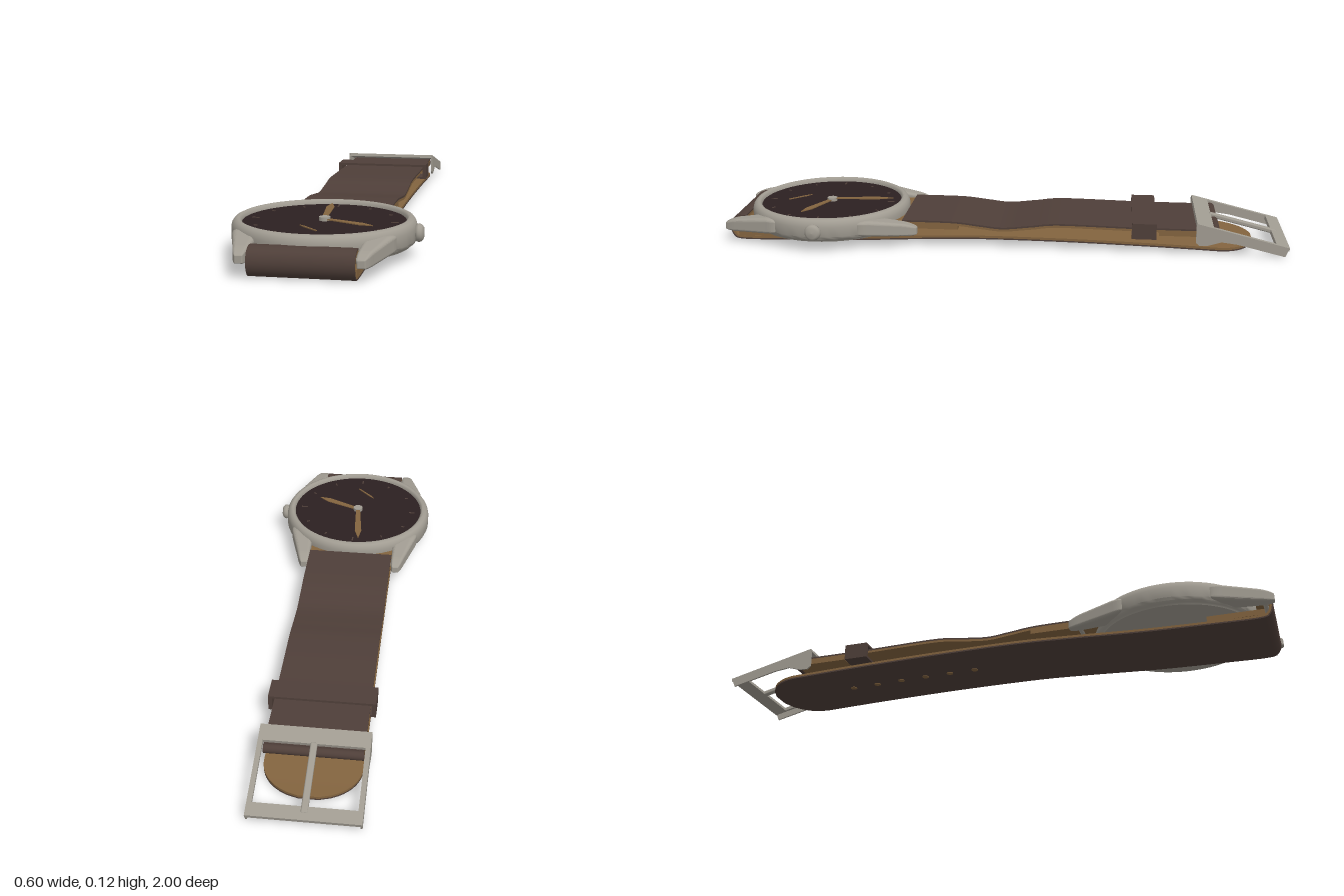
import * as THREE from 'three';
import { RoundedBoxGeometry } from 'three/addons/geometries/RoundedBoxGeometry.js';
import { toCreasedNormals } from 'three/addons/utils/BufferGeometryUtils.js';

const CX = -0.012, CZ = 0.65, HALF = 0.159;

function material(name, color) {
  const m = new THREE.MeshStandardMaterial({ color });
  m.name = name;
  return m;
}

export function createModel() {
  const steel = material('steel', 0xa19c92);
  const leather = material('brown leather', 0x4f3f39);
  const tan = material('tan lining', 0x83643f);
  const dark = material('dark dial', 0x2c2021);

  const model = new THREE.Group();
  model.name = 'wristwatch';

  function add(name, geo, mat, x = 0, y = 0, z = 0, parent = model) {
    const mesh = new THREE.Mesh(geo, mat);
    mesh.name = name;
    mesh.position.set(x, y, z);
    parent.add(mesh);
    return mesh;
  }

  // Strap layer: a box bent along a (z, y) path, between two offsets from it
  function ribbon(curve, low, high, halfWidth, steps = 90) {
    const geo = new THREE.BoxGeometry(2, 1, 1, 1, 1, steps);
    const p = geo.attributes.position;
    for (let i = 0; i < p.count; i++) {
      const t = THREE.MathUtils.clamp(p.getZ(i) + 0.5, 0, 1);
      const c = curve.getPointAt(t), d = curve.getTangentAt(t);
      const o = p.getY(i) > 0 ? high : low;
      p.setXYZ(i, p.getX(i) * halfWidth(c.x), c.y + d.x * o, c.x - d.y * o);
    }
    geo.computeVertexNormals();
    return geo;
  }
  const path = (pts) => new THREE.SplineCurve(pts.map(([z, y]) => new THREE.Vector2(z, y)));
  const full = () => HALF;

  // Upper strap with its folded ends
  const upper = path([[-0.745, 0.088], [-0.6, 0.088], [-0.45, 0.089], [-0.2, 0.093],
    [-0.1, 0.083], [0, 0.073], [0.08, 0.08], [0.18, 0.09], [0.36, 0.091]]);
  add('upperStrap', ribbon(upper, -0.006, 0, full), leather, CX);
  add('upperStrapLining', ribbon(upper, -0.014, -0.006, full), tan, CX);
  add('upperStrapFoldNearCase', new THREE.BoxGeometry(2 * HALF, 0.018, 0.25), tan, CX, 0.07, 0.285);
  add('upperStrapFoldNearBuckle', new THREE.BoxGeometry(2 * HALF, 0.018, 0.19), tan, CX, 0.07, -0.645);
  add('buckleFold', new THREE.CylinderGeometry(0.016, 0.016, 2 * HALF, 20).rotateZ(Math.PI / 2),
    leather, CX, 0.075, -0.747);

  // Lower strap: rounded tip, long underside, loop around the front bar
  const lower = path([[-0.885, 0.006], [-0.82, 0.007], [-0.74, 0.011], [-0.5, 0.02], [-0.2, 0.027],
    [0.1, 0.028], [0.3, 0.021], [0.55, 0.009], [0.8, 0.003], [0.945, 0.002], [0.978, 0.014],
    [0.99, 0.046], [0.98, 0.078], [0.955, 0.092], [0.93, 0.092]]);
  const tip = (z) => {
    const u = THREE.MathUtils.clamp((-0.745 - z) / 0.143, 0, 1);
    return HALF * Math.sqrt(Math.max(0.01, 1 - u * u));
  };
  add('lowerStrap', ribbon(lower, 0, 0.005, tip, 180), leather, CX);
  add('lowerStrapLining', ribbon(lower, 0.005, 0.013, tip, 180), tan, CX);
  add('lowerStrapFold', new THREE.BoxGeometry(2 * HALF, 0.02, 0.19), tan, CX, 0.025, 0.865);

  // Adjustment holes
  const samples = lower.getPoints(400);
  for (let i = 0; i < 6; i++) {
    const z = -0.1 - i * 0.096;
    const y = samples.find((s) => s.x >= z).y;
    add('strapHole', new THREE.CylinderGeometry(0.012, 0.012, 0.016, 16), tan, CX, y + 0.006, z);
  }

  // Keeper band around the upper strap
  const rect = (P, x0, y0, x1, y1) => {
    const s = new P();
    s.moveTo(x0, y0); s.lineTo(x1, y0); s.lineTo(x1, y1); s.lineTo(x0, y1); s.closePath();
    return s;
  };
  const band = rect(THREE.Shape, -0.178, 0.052, 0.178, 0.108);
  band.holes.push(rect(THREE.Path, -0.165, 0.06, 0.165, 0.1));
  add('keeper', new THREE.ExtrudeGeometry(band, { depth: 0.085, bevelEnabled: false }), leather, CX, 0, -0.54);

  // Case: turned body with raised bezel
  const profile = [[0, 0.034], [0.25, 0.036], [0.27, 0.038], [0.274, 0.045], [0.284, 0.05], [0.288, 0.06],
    [0.288, 0.095], [0.285, 0.108], [0.278, 0.118], [0.268, 0.123], [0.262, 0.122], [0.256, 0.116],
    [0.255, 0.104]].map(([r, y]) => new THREE.Vector2(r, y));
  add('case', toCreasedNormals(new THREE.LatheGeometry(profile, 72), 0.8), steel, CX, 0, CZ);
  add('dial', new THREE.CylinderGeometry(0.257, 0.257, 0.008, 72), dark, CX, 0.104, CZ);

  // Hour marks and small seconds ring
  for (let i = 0; i < 12; i++) {
    const a = (i * Math.PI) / 6;
    const mark = add('hourMark', new THREE.BoxGeometry(0.005, 0.002, i % 3 ? 0.012 : 0.024), leather,
      CX + Math.sin(a) * 0.22, 0.109, CZ + Math.cos(a) * 0.22);
    mark.rotation.y = a;
  }

  // Hands
  function hand(name, x, z, dx, dz, width, y) {
    const len = Math.hypot(dx, dz), s = new THREE.Shape();
    s.moveTo(-width * 0.3, 0); s.lineTo(width * 0.3, 0); s.lineTo(width / 2, len * 0.75);
    s.lineTo(0, len); s.lineTo(-width / 2, len * 0.75); s.closePath();
    const geo = new THREE.ExtrudeGeometry(s, { depth: 0.003, bevelEnabled: false }).rotateX(-Math.PI / 2);
    add(name, geo, tan, x, y, z).rotation.y = Math.atan2(-dx, -dz);
  }
  hand('minuteHand', CX, CZ, -0.022, -0.225, 0.026, 0.115);
  hand('hourHand', CX, CZ, 0.165, 0.075, 0.026, 0.111);
  hand('secondsHand', -0.002, 0.812, -0.068, -0.07, 0.007, 0.109);
  add('handHub', new THREE.CylinderGeometry(0.018, 0.018, 0.012, 24), steel, CX, 0.114, CZ);

  // Crown
  const crown = [[0, 0.036], [0.018, 0.034], [0.026, 0.028], [0.029, 0.019], [0.026, 0.01], [0.014, 0.006],
    [0.014, -0.01]].reverse().map(([r, y]) => new THREE.Vector2(r, y));
  add('crown', new THREE.LatheGeometry(crown, 32).rotateZ(-Math.PI / 2), steel, 0.264, 0.08, CZ);

  // Lugs: tapered horns bending down toward their tips
  for (const sx of [-1, 1]) for (const sz of [-1, 1]) {
    const geo = new RoundedBoxGeometry(1, 1, 1, 5, 0.22);
    const p = geo.attributes.position;
    for (let i = 0; i < p.count; i++) {
      const t = p.getZ(i) * sz + 0.5, u = p.getX(i) * sx + 0.5, v = p.getY(i) + 0.5;
      const outer = 0.262 - 0.067 * Math.pow(t, 0.8);
      const bottom = 0.05 - 0.008 * t, top = 0.108 - 0.03 * t * t;
      p.setXYZ(i, sx * THREE.MathUtils.lerp(0.16, outer, u), THREE.MathUtils.lerp(bottom, top, v),
        sz * (0.14 + 0.207 * t));
    }
    geo.computeVertexNormals();
    add('lug', geo, steel, CX, 0, CZ);
  }
  for (const z of [0.335, 0.965]) {
    add('springBar', new THREE.CylinderGeometry(0.008, 0.008, 0.34, 12).rotateZ(Math.PI / 2), steel, CX, 0.063, z);
  }

  // Buckle: sloping frame, prong and thin side flanges
  const buckle = new THREE.Group();
  buckle.name = 'buckle';
  buckle.position.set(CX, 0.069, -0.838);
  buckle.rotation.x = -0.242;
  model.add(buckle);
  const frame = rect(THREE.Shape, -0.178, -0.165, 0.178, 0.165);
  frame.holes.push(rect(THREE.Path, -0.162, -0.105, 0.162, 0.118));
  add('buckleFrame', new THREE.ExtrudeGeometry(frame, { depth: 0.012, bevelEnabled: false })
    .rotateX(-Math.PI / 2), steel, 0, -0.006, 0, buckle);
  add('prong', new RoundedBoxGeometry(0.022, 0.016, 0.25, 2, 0.005), steel, 0, 0.001, -0.015, buckle);
  const flange = new THREE.Shape([[-0.677, 0.112], [-0.998, 0.034], [-0.985, 0.003], [-0.82, 0.043],
    [-0.765, 0.05], [-0.72, 0.036], [-0.69, 0.034], [-0.677, 0.045]].map(([z, y]) => new THREE.Vector2(z, y)));
  for (const x of [-0.172, 0.178]) {
    add('buckleFlange', new THREE.ExtrudeGeometry(flange, { depth: 0.006, bevelEnabled: false })
      .rotateY(-Math.PI / 2), steel, CX + x, 0, 0);
  }
  return model;
}
